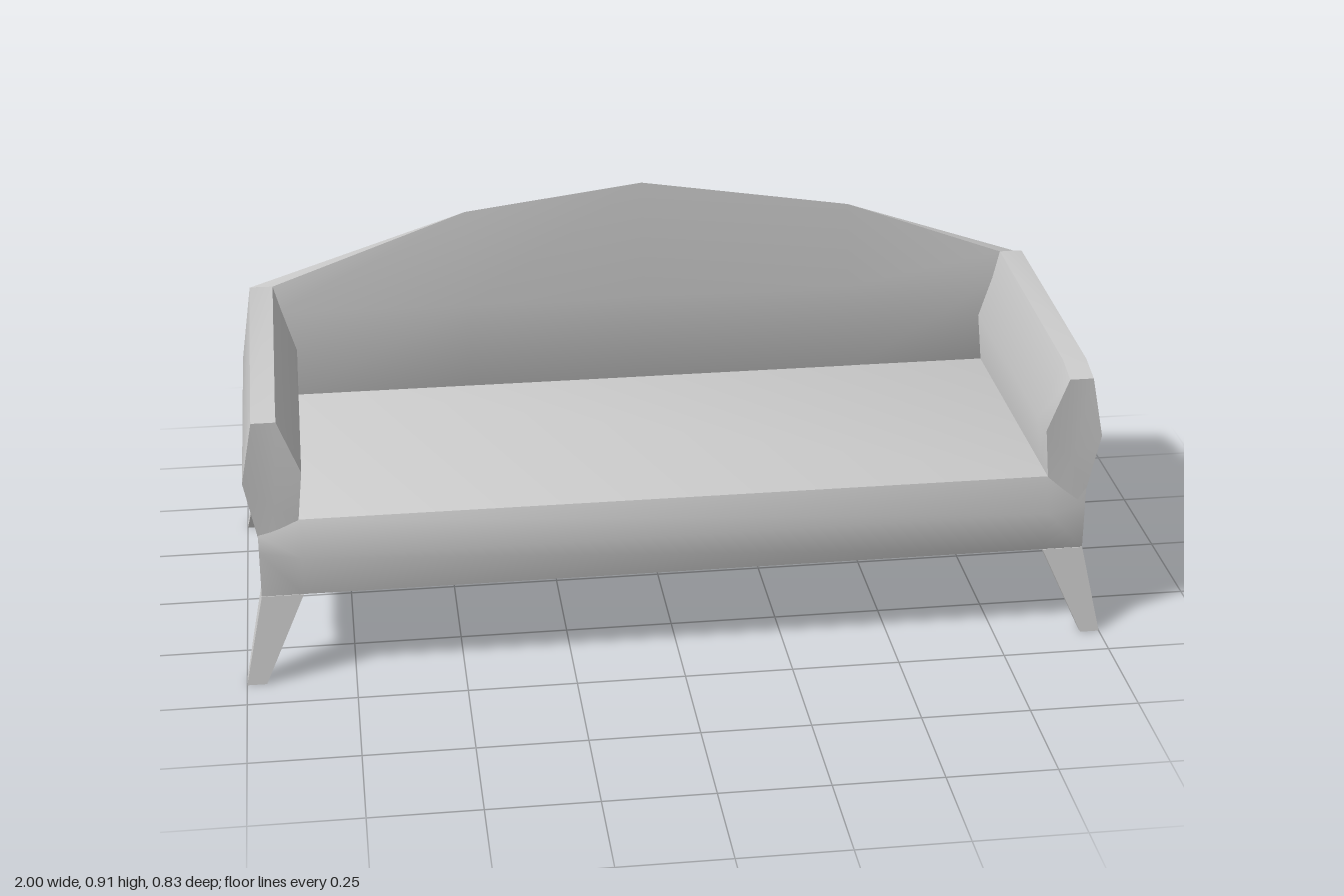
import * as THREE from 'three';
import { toCreasedNormals } from 'three/addons/utils/BufferGeometryUtils.js';

const material = new THREE.MeshStandardMaterial({ color: 0xcccccc });

// Closed solid through a series of rings (arrays of [x, y, z]), capped by fans around each end's centre
function loft(name, rings) {
  const n = rings[0].length, tris = [];
  for (let i = 0; i < rings.length - 1; i++) {
    for (let j = 0; j < n; j++) {
      const k = (j + 1) % n, a = rings[i], b = rings[i + 1];
      tris.push([a[j], a[k], b[k]], [a[j], b[k], b[j]]);
    }
  }
  const cap = (ring, flip) => {
    const c = [0, 1, 2].map(q => ring.reduce((s, p) => s + p[q], 0) / n);
    ring.forEach((p, j) => {
      const next = ring[(j + 1) % n];
      tris.push(flip ? [c, next, p] : [c, p, next]);
    });
  };
  cap(rings[0], true);
  cap(rings[rings.length - 1], false);

  // Turn the faces outward if the enclosed volume comes out negative
  const v = p => new THREE.Vector3(...p);
  const volume = tris.reduce((s, [a, b, c]) => s + v(a).dot(v(b).cross(v(c))), 0);
  if (volume < 0) tris.forEach(t => t.reverse());

  const geometry = new THREE.BufferGeometry();
  geometry.setAttribute('position', new THREE.Float32BufferAttribute(tris.flat(2), 3));
  const mesh = new THREE.Mesh(toCreasedNormals(geometry, Math.PI / 4), material);
  mesh.name = name;
  return mesh;
}

// Seat block with a rounded front that fades out at the corners
function seat() {
  const ring = (x, top, bulge) => [
    [x, top, -0.36], [x, top, 0.38], [x, 0.32, bulge], [x, 0.21, 0.38],
    [x, 0.21, -0.385], [x, 0.36, -0.385],
  ];
  return loft('seat', [
    ring(-0.955, 0.365, 0.381), ring(-0.86, 0.4, 0.415),
    ring(0.86, 0.4, 0.415), ring(0.955, 0.365, 0.381),
  ]);
}

// Backrest with an arched, slightly uneven top that slopes down to the rear
function backrest() {
  // front x, rear x, top height, forward swell
  const columns = [
    [-0.9, -0.955, 0.685, -0.297], [-0.43, -0.43, 0.855, -0.289],
    [0, 0, 0.91, -0.285], [0.51, 0.51, 0.83, -0.289], [0.9, 0.955, 0.685, -0.297],
  ];
  return loft('backrest', columns.map(([x, rearX, top, swell]) => [
    [x, 0.38, -0.3], [x, 0.62, swell], [x, top, -0.31],
    [rearX, top - 0.03, -0.385], [rearX, 0.21, -0.385],
  ]));
}

// Armrest swelling at mid height, with its top rising to the back
function armrest(side) {
  // z, top height, outermost x, forward swell
  const stations = [
    [0.38, 0.643, 0.982, 0.007], [0.31, 0.662, 0.982, 0],
    [-0.31, 0.685, 0.982, 0], [-0.385, 0.655, 0.955, 0],
  ];
  return loft(side > 0 ? 'leftArmrest' : 'rightArmrest', stations.map(([z, top, outer, swell]) => [
    [0.955, 0.21, z], [0.955, 0.36, z], [outer, 0.5, z + swell], [0.955, top, z],
    [0.9, top, z], [0.85, 0.52, z + swell], [0.862, 0.4, z], [0.862, 0.21, z],
  ].map(([x, y, d]) => [side * x, y, d])));
}

// Splayed, tapering leg
function leg(sx, sz) {
  const ring = (y, x0, x1, z0, z1) =>
    [[x0, z0], [x1, z0], [x1, z1], [x0, z1]].map(([x, z]) => [sx * x, y, sz * z]);
  const name = (sz > 0 ? 'front' : 'back') + (sx > 0 ? 'Left' : 'Right') + 'Leg';
  return loft(name, [
    ring(0, 0.955, 1, 0.38, 0.413),
    ring(0.21, 0.86, 0.955, 0.31, 0.382),
  ]);
}

export function createModel() {
  const sofa = new THREE.Group();
  sofa.name = 'sofa';
  sofa.add(seat(), backrest());
  for (const sx of [1, -1]) {
    sofa.add(armrest(sx));
    for (const sz of [1, -1]) sofa.add(leg(sx, sz));
  }
  return sofa;
}
